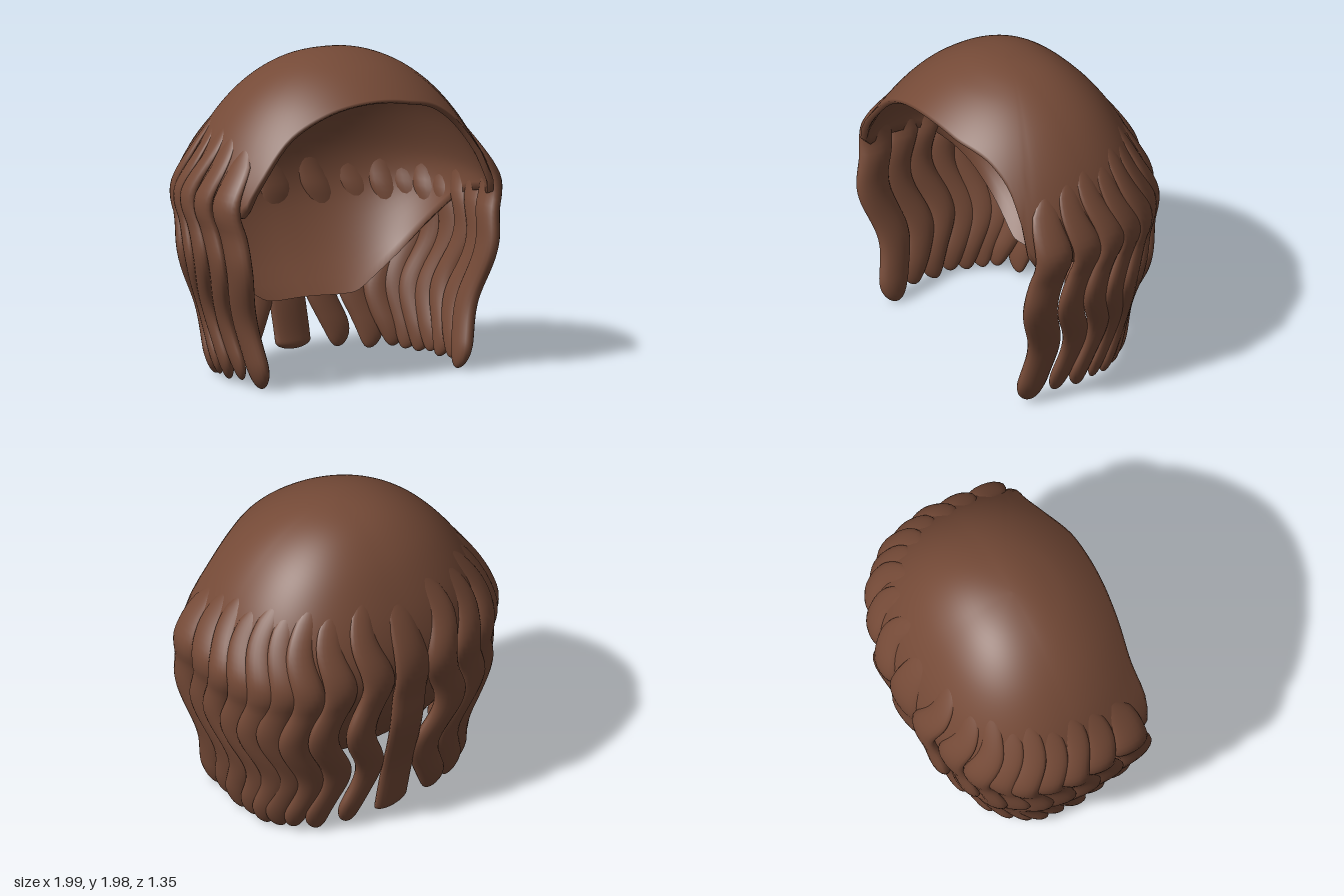
import * as THREE from 'three';

const CZ = 0.12;   // z of the crown
const TOP = 1.99;  // height of the crown
const { smoothstep, degToRad, radToDeg } = THREE.MathUtils;

// Smooth interpolation through [key, value] pairs
function curve(points) {
  const slope = (i) => {
    const a = points[Math.max(i - 1, 0)], b = points[Math.min(i + 1, points.length - 1)];
    return (b[1] - a[1]) / (b[0] - a[0]);
  };
  return (x) => {
    const n = points.length;
    if (x <= points[0][0]) return points[0][1];
    if (x >= points[n - 1][0]) return points[n - 1][1];
    let i = 0;
    while (x > points[i + 1][0]) i++;
    const [x0, y0] = points[i], [x1, y1] = points[i + 1], d = x1 - x0, t = (x - x0) / d;
    return y0 * (1 + 2 * t) * (1 - t) ** 2 + slope(i) * d * t * (1 - t) ** 2
      + y1 * t * t * (3 - 2 * t) + slope(i + 1) * d * t * t * (t - 1);
  };
}

// Radius by height, keyed by the root of the depth below the crown so the dome is round
function radius(pairs) {
  const f = curve([[0, 0], ...pairs.map(([y, r]) => [Math.sqrt(TOP - y), r])]);
  return (y) => f(Math.sqrt(Math.max(TOP - y, 0)));
}
const side = radius([[1.95, 0.265], [1.8, 0.54], [1.6, 0.73], [1.4, 0.85], [1.2, 0.93], [1.1, 0.935],
  [1.0, 0.915], [0.8, 0.83], [0.6, 0.72], [0.4, 0.5]]);
const back = radius([[1.95, 0.235], [1.8, 0.45], [1.6, 0.595], [1.4, 0.69], [1.2, 0.74], [1.0, 0.73],
  [0.8, 0.65], [0.6, 0.52], [0.4, 0.34]]);
const front = radius([[1.95, 0.22], [1.9, 0.34], [1.75, 0.56], [1.5, 0.8], [1.3, 1.0], [1.1, 1.1], [0.4, 1.12]]);

// Point of the head at angle a (0 = left, 90 degrees = back) and height y
function hull(a, y) {
  const c = Math.cos(a), s = Math.sin(a), e = s > 0 ? 0.833 : 1;
  return new THREE.Vector3(
    side(y) * Math.sign(c) * Math.abs(c) ** e, y,
    CZ - (s > 0 ? back(y) * s ** e : front(y) * s));
}

// Closed-loop rows of points, from top to bottom, joined into a smooth skin
function skin(rows) {
  const n = rows[0].length, index = [];
  for (let i = 0; i < rows.length - 1; i++) {
    for (let j = 0; j < n; j++) {
      const k = (j + 1) % n, a = i * n + j, b = a + n, c = (i + 1) * n + k, d = i * n + k;
      index.push(a, b, c, a, c, d);
    }
  }
  const g = new THREE.BufferGeometry().setFromPoints(rows.flat());
  g.setIndex(index);
  g.computeVertexNormals();
  return g;
}

// Lower edge of the cap by angle from the side (degrees): high in front, low behind
const lowEdge = curve([[-90, 1.1], [-24, 1.1], [0, 1.03], [12, 0.9], [34, 0.62], [52, 0.44], [64, 0.41], [90, 0.41]]);
// How far forward the face opening reaches at each height
const rimZ = curve([[1.1, 0.575], [1.33, 0.62], [1.55, 0.615], [1.7, 0.655], [1.77, 0.685]]);

// The cap stops at the face opening, set back on the left, or at its lower edge
function capEnd(a) {
  let lo = lowEdge(radToDeg(Math.asin(Math.sin(a)))), hi = TOP;
  const past = (y) => {
    const p = hull(a, y);
    return p.z > rimZ(y) - 0.05 * smoothstep(p.x, 0.2, 0.5) * smoothstep(y, 1.1, 1.35);
  };
  if (!past(lo)) return lo;
  for (let i = 0; i < 30; i++) {
    const mid = (lo + hi) / 2;
    if (past(mid)) lo = mid; else hi = mid;
  }
  return lo;
}

// Hollow cap: outer skin down to the rim, then the inner skin back up
function capGeometry() {
  const cols = 128, steps = 36, outer = [], inner = [];
  const ends = Array.from({ length: cols }, (_, j) => capEnd(j / cols * Math.PI * 2));
  for (let i = 0; i <= steps; i++) {
    const s = i / steps;
    const row = ends.map((end, j) => hull(j / cols * Math.PI * 2, TOP - (TOP - end) * s * s));
    outer.push(row);
    inner.unshift(row.map((p) => new THREE.Vector3(p.x * 0.96, p.y - 0.03 * (1 - 0.6 * s), CZ + (p.z - CZ) * 0.96)));
  }
  return skin([...outer, ...inner]);
}

// How far a lock falls inward below the widest height
const inset = curve([[0, 0.215], [0.2, 0.17], [0.4, 0.12], [0.6, 0.065], [0.8, 0.025], [1.0, 0]]);
const UP = new THREE.Vector3(0, 1, 0);

// Wavy flattened lock that grows out of the cap and hangs to a rounded tip
function lockGeometry({ angle, top, tip, width, depth, wave, phase, blunt }) {
  const rows = [], steps = 60, around = 18;
  const a = degToRad(angle), dir = Math.sign(Math.cos(a)) || 1;
  const endAt = blunt ? 0.97 : 0.89;
  for (let i = 0; i <= steps; i++) {
    const s = 1 - (1 - i / steps) ** 1.6, y = top + (tip - top) * s, hy = Math.max(y, 1);
    const N = hull(a + 0.02, hy).sub(hull(a - 0.02, hy)).cross(UP).normalize();
    if (N.dot(hull(a, hy).setY(0).sub(new THREE.Vector3(0, 0, CZ))) < 0) N.negate();
    const T = N.clone().cross(UP);
    const grow = 1 - smoothstep(y, 1.1, top);
    const close = s > endAt ? Math.sqrt(Math.max(0, 1 - ((s - endAt) / (1 - endAt)) ** 2)) : 1;
    const w = width * (0.45 + 0.55 * grow) * Math.min(1, s * 8) * (1 - (blunt ? 0.08 : 0.24) * s) * close;
    const h = (0.01 + (depth - 0.01) * grow) * (1 - 0.15 * s) * close;
    // the inner half is thin where it lies on the cap
    const under = 1 - 0.6 * smoothstep(y, 1.0, 1.3);
    const swing = Math.PI * 2 * (y - 0.77 + phase) / 0.7;
    const p = hull(a, hy).setY(y)
      .addScaledVector(N, -inset(y) - 0.022 + 0.026 * grow + 0.012 * (1 - smoothstep(y, 0.8, 1.1)) * Math.cos(swing))
      .addScaledVector(T, dir * wave * (0.4 + 0.6 * grow) * Math.cos(swing));
    const row = [];
    for (let j = 0; j < around; j++) {
      const q = j / around * Math.PI * 2, c = Math.cos(q), n = Math.sin(q);
      // a slight tilt laps each lock over the next
      row.push(p.clone().addScaledVector(T, w * c)
        .addScaledVector(N, h * n * (n < 0 ? under : 1) + dir * 0.016 * grow * close * c));
    }
    rows.push(row);
  }
  return skin(rows);
}

export function createModel() {
  const hair = new THREE.MeshStandardMaterial({ color: 0x754a37, side: THREE.DoubleSide });
  hair.name = 'brown hair';
  const model = new THREE.Group();
  model.name = 'wig';
  const add = (name, geometry) => {
    const mesh = new THREE.Mesh(geometry, hair);
    mesh.name = name;
    model.add(mesh);
  };

  add('cap', capGeometry());

  // Locks from the front corner to the back: angle, top, tip, half width, half depth, wave
  const locks = [
    [-18, 1.6, 0.01, 0.135, 0.065, 0.032],
    [-6.5, 1.68, 0.04, 0.115, 0.05, 0.045],
    [2.2, 1.72, 0.02, 0.11, 0.06, 0.05],
    [13, 1.7, 0.03, 0.11, 0.05, 0.05],
    [24, 1.76, 0.015, 0.11, 0.06, 0.05],
    [35, 1.72, 0.02, 0.11, 0.05, 0.05],
    [46, 1.78, 0.03, 0.11, 0.06, 0.05],
    [60, 1.74, 0.015, 0.115, 0.05, 0.055],
    [76, 1.78, 0.03, 0.125, 0.06, 0.055],
  ];
  for (const left of [true, false]) {
    locks.forEach(([t, top, tip, width, depth, wave], i) => {
      add(`${left ? 'left' : 'right'}Lock${i + 1}`, lockGeometry({
        angle: left ? t : 180 - t, top, tip, width, depth, wave, phase: 0.025 * Math.sin(i * 2.3),
      }));
    });
  }
  add('centreBackLock', lockGeometry({
    angle: 90, top: 1.72, tip: 0.04, width: 0.14, depth: 0.05, wave: 0.01, phase: 0, blunt: true,
  }));
  return model;
}
